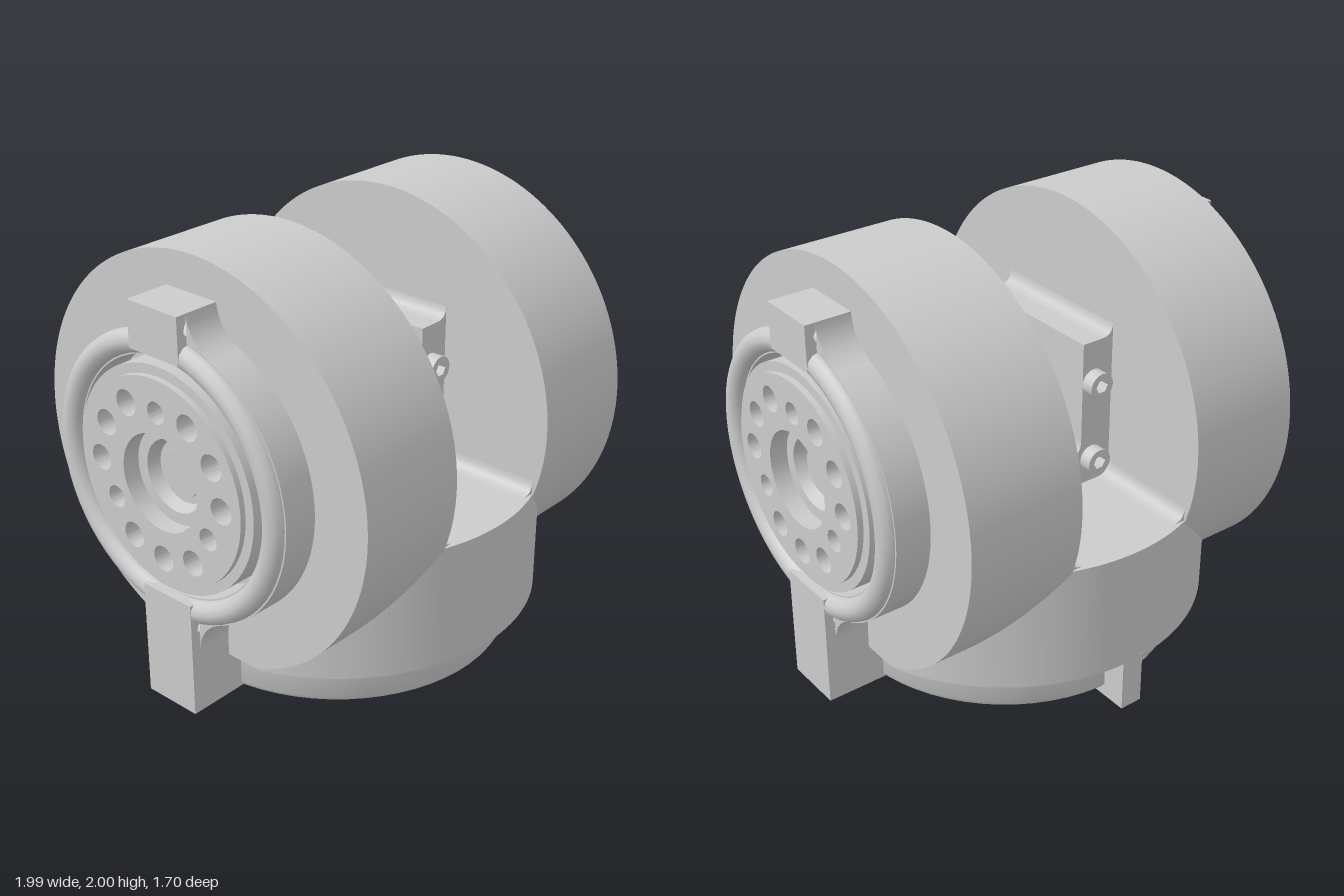
import * as THREE from 'three';
import { toCreasedNormals } from 'three/addons/utils/BufferGeometryUtils.js';

const mat = new THREE.MeshStandardMaterial({ color: 0xcccccc });
const AXIS = 1.15; // height of the side drum axis

function add(parent, name, geo) {
  const mesh = new THREE.Mesh(toCreasedNormals(geo, 0.6), mat);
  mesh.name = name;
  parent.add(mesh);
  return mesh;
}

// Extrusions along z, x and y between two positions
function alongZ(shape, from, to, seg = 32) {
  return new THREE.ExtrudeGeometry(shape, { depth: to - from, bevelEnabled: false, curveSegments: seg }).translate(0, 0, from);
}
const alongX = (shape, from, to, seg) => alongZ(shape, from, to, seg).rotateY(Math.PI / 2);
const alongY = (shape, from, to, seg) => alongZ(shape, from, to, seg).rotateX(-Math.PI / 2);

const circle = (r, x = 0, y = 0) => new THREE.Shape().absarc(x, y, r, 0, Math.PI * 2, false);
const polygon = (pts) => new THREE.Shape(pts.map(([x, y]) => new THREE.Vector2(x, y)));
const rect = (x0, y0, x1, y1) => polygon([[x0, y0], [x1, y0], [x1, y1], [x0, y1]]);
const lathe = (pts, seg = 64) => new THREE.LatheGeometry(pts.map(([x, y]) => new THREE.Vector2(x, y)), seg);

// Lug with counterbored screw holes running along z
function lug(parent, name, x0, y0, x1, y1, holes) {
  for (const [from, to, r] of [[-0.13, -0.1, 0.058], [-0.1, 0.1, 0.038], [0.1, 0.13, 0.058]]) {
    const shape = rect(x0, y0, x1, y1);
    holes.forEach(([x, y]) => shape.holes.push(circle(r, x, y)));
    add(parent, name, alongZ(shape, from, to, 16));
  }
}

// Ring outline that flares into the upper and lower lugs
function flangeShape() {
  const a = Math.atan2(0.54, 0.26);
  const s = new THREE.Shape();
  s.absarc(0, 0, 0.6, -a, a, false);
  s.quadraticCurveTo(0.14, 0.59, 0.13, 0.7);
  s.lineTo(0.13, 0.57).lineTo(-0.13, 0.57).lineTo(-0.13, 0.7);
  s.quadraticCurveTo(-0.14, 0.59, -0.26, 0.54);
  s.absarc(0, 0, 0.6, Math.PI - a, Math.PI + a, false);
  s.quadraticCurveTo(-0.14, -0.59, -0.13, -0.7);
  s.lineTo(-0.13, -0.57).lineTo(0.13, -0.57).lineTo(0.13, -0.7);
  s.quadraticCurveTo(0.14, -0.59, 0.26, -0.54);
  s.holes.push(circle(0.49));
  return s;
}

function createSide() {
  const side = new THREE.Group();

  // Drum, flattened where it meets the base
  const a = Math.asin((0.345 - AXIS) / 0.85);
  const drum = new THREE.Shape().absarc(0, AXIS, 0.85, a, Math.PI - a, false);
  add(side, 'drum', alongX(drum, 0.29, 0.795, 64));

  // Flange with rounded rim
  add(side, 'flange', alongX(flangeShape(), 0.78, 0.945, 40).translate(0, AXIS, 0));
  add(side, 'flangeRim', new THREE.TorusGeometry(0.545, 0.05, 12, 64).rotateY(Math.PI / 2).translate(0.94, AXIS, 0));

  // Rotating horn: outer ring, drilled disc and hub
  const horn = new THREE.Group();
  horn.name = 'horn';
  side.add(horn);
  const ring = circle(0.465);
  ring.holes.push(circle(0.415));
  add(horn, 'hornRing', alongX(ring, 0.79, 0.97, 48));
  const disc = circle(0.425);
  disc.holes.push(circle(0.2));
  for (let i = 0; i < 12; i++) {
    const t = Math.PI / 2 + i * Math.PI / 6;
    const inner = i % 4 === 0;
    const d = inner ? 0.29 : 0.325;
    disc.holes.push(circle(inner ? 0.045 : 0.053, d * Math.cos(t), d * Math.sin(t)));
  }
  add(horn, 'hornDisc', alongX(disc, 0.79, 0.995, 32));
  add(horn, 'hornHub', lathe([[0.21, 0.79], [0.21, 0.92], [0.15, 0.92], [0.13, 0.87], [0.1, 0.87], [0.1, 0.89], [0, 0.89]], 40)
    .rotateZ(-Math.PI / 2));
  horn.position.y = AXIS;

  // Mounting lugs
  lug(side, 'upperLug', 0.78, 1.66, 0.99, 1.85, [[0.9, 1.78]]);
  lug(side, 'lowerLug', 0.72, 0.16, 0.99, 0.66, [[0.9, 0.53], [0.77, 0.25]]);

  // Fillet between drum and saddle floor
  const fillet = new THREE.Shape();
  fillet.moveTo(0.3, 0.86).lineTo(0.3, 0.93).lineTo(0.29, 0.93).quadraticCurveTo(0.29, 0.87, 0.23, 0.87).lineTo(0.23, 0.86);
  add(side, 'saddleFillet', alongZ(fillet, -0.795, 0.795, 8));

  // Bracket side frame
  const frame = new THREE.Shape();
  frame.moveTo(-0.33, 0.86).lineTo(0.33, 0.86).lineTo(0.33, 1.51).lineTo(-0.33, 1.51);
  frame.holes.push(rect(-0.22, 1.01, 0.22, 1.42));
  add(side, 'bracketFrame', alongX(frame, 0.14, 0.3));
  const lip = new THREE.Shape();
  lip.moveTo(0.3, 1.5).lineTo(0.3, 1.56).lineTo(0.29, 1.56).quadraticCurveTo(0.285, 1.51, 0.24, 1.51).lineTo(0.24, 1.5);
  add(side, 'frameLip', alongZ(lip, -0.33, 0.33, 8));

  // Socket screws on both faces of the bracket
  for (const y of [0.98, 1.33]) {
    for (const dir of [1, -1]) {
      const head = circle(0.056);
      head.holes.push(polygon([0, 1, 2, 3, 4, 5].map((i) =>
        [0.03 * Math.cos(i * Math.PI / 3), 0.03 * Math.sin(i * Math.PI / 3)])));
      const geo = alongZ(head, 0.33, 0.385, 24);
      if (dir < 0) geo.rotateY(Math.PI);
      add(side, 'screwHead', geo.translate(0.195, y, 0));
    }
  }
  return side;
}

export function createModel() {
  const model = new THREE.Group();
  model.name = 'twinDrumJoint';

  // Left and right halves
  const left = createSide();
  left.name = 'leftSide';
  const right = createSide();
  right.name = 'rightSide';
  right.rotation.y = Math.PI;
  model.add(left, right);

  // Round base with flat sides and a central shaft
  const c = Math.acos(0.793 / 0.85);
  const base = new THREE.Shape();
  base.absarc(0, 0, 0.85, c, Math.PI - c, false);
  base.absarc(0, 0, 0.85, Math.PI + c, 2 * Math.PI - c, false);
  base.holes.push(circle(0.128));
  add(model, 'baseBody', alongY(base, 0.345, 0.87, 40));

  // Skirt ring with rounded lower rim
  add(model, 'baseSkirt', lathe([[0.6, 0.35], [0.6, 0.2], [0.62, 0.175], [0.65, 0.19], [0.665, 0.165],
    [0.7, 0.152], [0.73, 0.16], [0.742, 0.18], [0.742, 0.35]]));

  // Lower horn: neck, stepped rims and conical underside
  add(model, 'lowerHorn', lathe([[0.128, 0.07], [0.25, 0.07], [0.42, 0.085], [0.43, 0.095], [0.43, 0.115], [0.415, 0.12],
    [0.415, 0.127], [0.445, 0.13], [0.445, 0.148], [0.4, 0.155], [0.4, 0.35]]));
  add(model, 'shaftLining', lathe([[0.128, 0.36], [0.128, 0.06]], 48));

  // Output boss with a bolt circle
  const boss = circle(0.262);
  boss.holes.push(circle(0.128));
  for (let i = 0; i < 6; i++) boss.holes.push(circle(0.018, 0.185 * Math.cos(i * Math.PI / 3), 0.185 * Math.sin(i * Math.PI / 3)));
  add(model, 'outputBoss', alongY(boss, 0, 0.08, 40));

  // Stop tab at the back
  add(model, 'stopTab', new THREE.BoxGeometry(0.1, 0.24, 0.19).translate(0, 0.24, -0.755));

  // Bracket cross bars with rounded inner corners
  for (const z of [-0.33, 0.22]) {
    const bar = new THREE.Shape();
    bar.moveTo(-0.15, 0.86).lineTo(0.15, 0.86).lineTo(0.15, 1.07).lineTo(0.14, 1.07);
    bar.quadraticCurveTo(0.14, 1.01, 0.08, 1.01).lineTo(-0.08, 1.01);
    bar.quadraticCurveTo(-0.14, 1.01, -0.14, 1.07).lineTo(-0.15, 1.07);
    add(model, 'bracketCrossBar', alongZ(bar, z, z + 0.11, 8));
  }

  // Collar around the shaft opening
  add(model, 'shaftCollar', lathe([[0.22, 0.86], [0.22, 0.89], [0.16, 0.9], [0.128, 0.88], [0.128, 0.86]], 48));
  return model;
}
